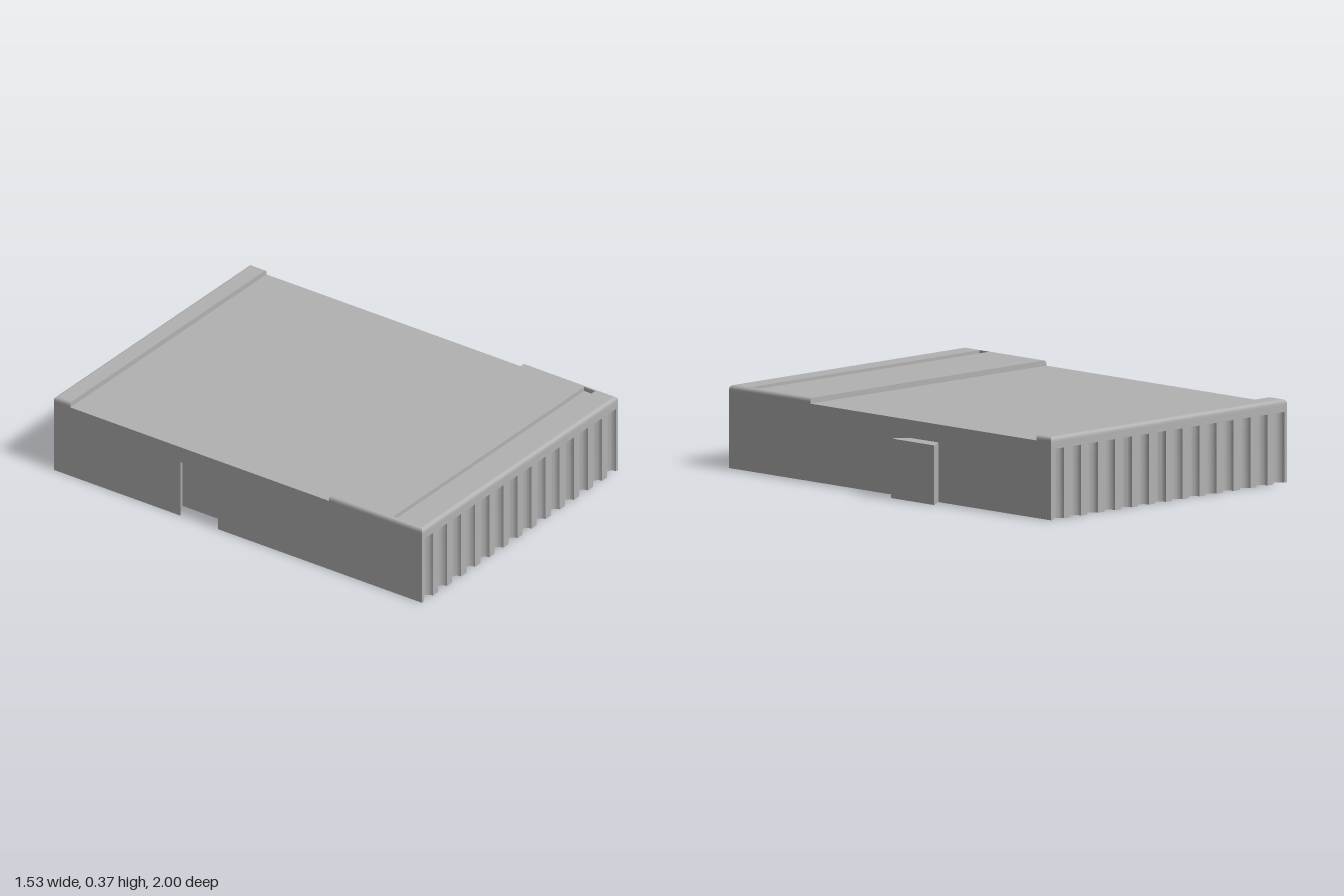
import * as THREE from 'three';
import { toCreasedNormals } from 'three/addons/utils/BufferGeometryUtils.js';

const X0 = -0.765, X1 = 0.695;       // body sides
const FLOOR = 0.345, TOP = 0.37;     // recessed deck and raised ends
const GROOVES = 14, GROOVE_R = 0.033, GROOVE_START = -0.717, GROOVE_PITCH = 0.1048;

// Extrude a plan outline (x, -z) upward from y0 to y1
function slab(shape, y0, y1) {
  const g = new THREE.ExtrudeGeometry(shape, { depth: y1 - y0, bevelEnabled: false, curveSegments: 12 });
  g.rotateX(-Math.PI / 2);
  g.translate(0, y0, 0);
  return toCreasedNormals(g, 0.5);
}

function polygon(points) {
  return new THREE.Shape(points.map(([x, z]) => new THREE.Vector2(x, -z)));
}

function rect(x0, x1, z0, z1) {
  return polygon([[x0, z1], [x1, z1], [x1, z0], [x0, z0]]);
}

// Body outline with half-round grooves at both ends, optionally with the dovetail socket
function groovedOutline(socket) {
  const s = new THREE.Shape();
  s.moveTo(X0, -1);
  for (let i = 0; i < GROOVES; i++) {
    const cx = GROOVE_START + i * GROOVE_PITCH;
    s.lineTo(cx - GROOVE_R, -1);
    s.absarc(cx, -1, GROOVE_R, Math.PI, 0, true);
  }
  s.lineTo(X1, -1);
  s.lineTo(X1, 1);
  for (let i = GROOVES - 1; i >= 0; i--) {
    const cx = GROOVE_START + i * GROOVE_PITCH;
    s.lineTo(cx + GROOVE_R, 1);
    s.absarc(cx, 1, GROOVE_R, 0, Math.PI, true);
  }
  s.lineTo(X0, 1);
  if (socket) {
    s.lineTo(X0, 0.313);
    s.lineTo(X0 + 0.075, 0.355);
    s.lineTo(X0 + 0.075, 0.065);
    s.lineTo(X0, 0.107);
  }
  s.closePath();
  return s;
}

// Rounded upper edge on three sides of a raised end, lofted from inset rectangles
function roundedEdge(end, inner, radius) {
  const ring = (d, y) => {
    const zMax = end > 0 ? end - d : inner, zMin = end > 0 ? inner : end + d;
    return [[X0 + d, y, zMax], [X1 - d, y, zMax], [X1 - d, y, zMin], [X0 + d, y, zMin]];
  };
  const rings = [ring(0, FLOOR)];
  for (let i = 0; i <= 3; i++) {
    const a = (i / 3) * Math.PI / 2;
    rings.push(ring(radius * (1 - Math.cos(a)), TOP - radius + radius * Math.sin(a)));
  }
  const pos = [];
  for (let k = 0; k < rings.length - 1; k++) {
    for (let i = 0; i < 4; i++) {
      const j = (i + 1) % 4, a = rings[k], b = rings[k + 1];
      pos.push(...a[i], ...a[j], ...b[j], ...a[i], ...b[j], ...b[i]);
    }
  }
  const g = new THREE.BufferGeometry();
  g.setAttribute('position', new THREE.Float32BufferAttribute(pos, 3));
  g.computeVertexNormals();
  return toCreasedNormals(g, 0.6);
}

export function createModel() {
  const model = new THREE.Group();
  model.name = 'interlockingBlock';
  const grey = new THREE.MeshStandardMaterial({ color: 0xb2b2b2 });
  grey.name = 'grey';

  const add = (name, geometry, parent = model) => {
    const mesh = new THREE.Mesh(geometry, grey);
    mesh.name = name;
    parent.add(mesh);
  };

  // Body in three layers: socket level, grooves only, plain
  add('lowerBody', slab(groovedOutline(true), 0, 0.27));
  add('middleBody', slab(groovedOutline(false), 0.27, 0.315));
  add('upperBody', slab(rect(X0, X1, -1, 1), 0.315, FLOOR));

  // Dovetail tab on the left side
  add('dovetailTab', slab(polygon([[X1, -0.12], [0.765, -0.075], [0.765, -0.345], [X1, -0.3]]), 0, 0.265));

  // Raised ends; the front one carries a shallow slot
  const r = 0.016;
  const raisedEnd = (name, end, inner, slot) => {
    const group = new THREE.Group();
    group.name = name;
    model.add(group);
    const zMin = end > 0 ? inner : end + r, zMax = end > 0 ? end - r : inner;
    const deck = rect(X0 + r, X1 - r, zMin, zMax);
    if (slot) deck.holes.push(rect(-0.745, 0.675, 0.83, 0.89));
    add('slotFloor', slab(rect(X0 + r, X1 - r, zMin, zMax), FLOOR, 0.35), group);
    add('raisedDeck', slab(deck, 0.35, TOP), group);
    add('roundedEdge', roundedEdge(end, inner, r), group);
  };
  raisedEnd('frontRaisedEnd', 1, 0.495, true);
  raisedEnd('backRaisedEnd', -1, -0.91, false);

  return model;
}
